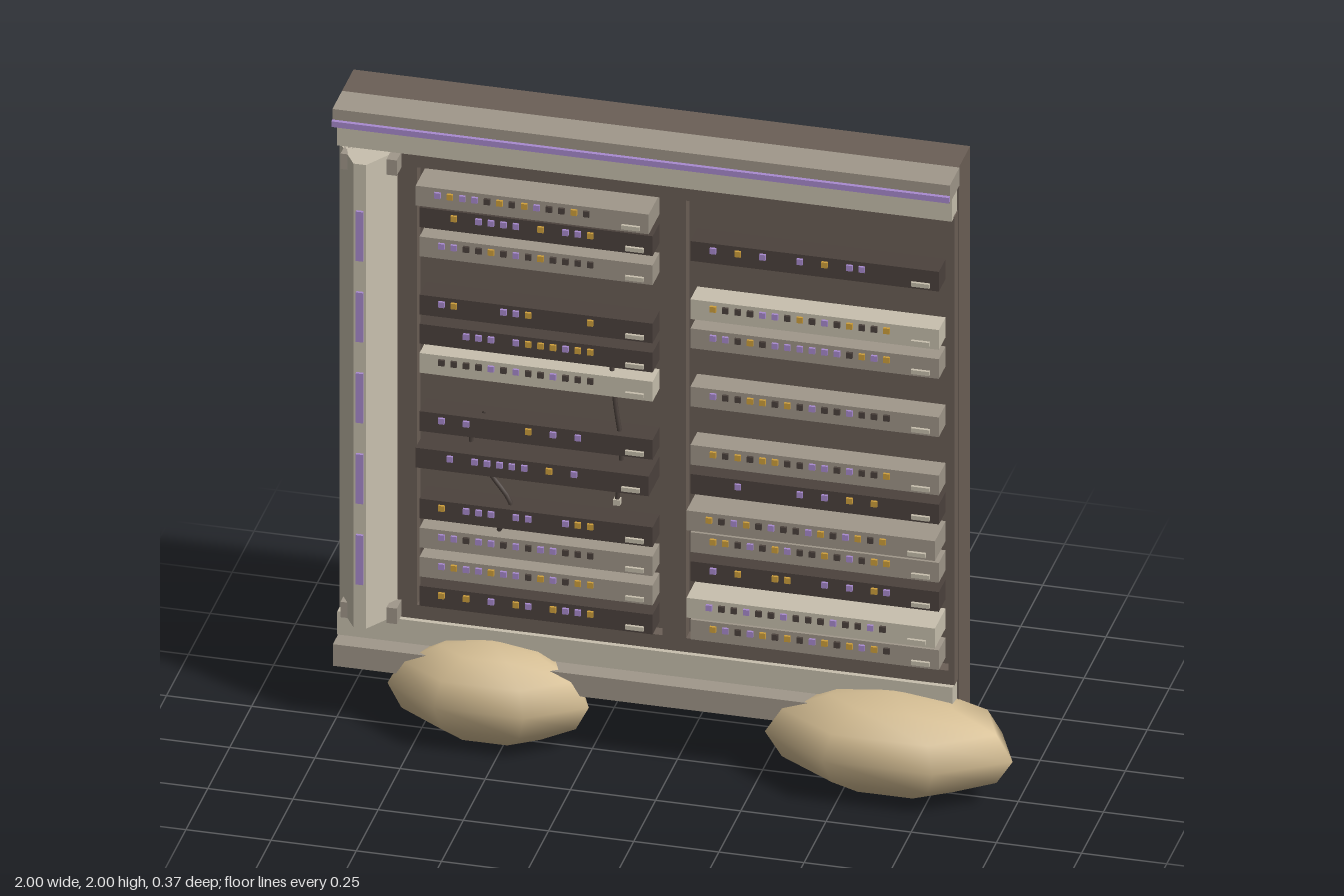
import * as THREE from 'three';

const mat = (name, color) => {
  const m = new THREE.MeshStandardMaterial({ color });
  m.name = name;
  return m;
};

export function createModel() {
  const M = {
    brown: mat('cabinet brown', 0x6b5f56),
    light: mat('pale trim', 0xc8c0ae),
    mid: mat('grey trim', 0xa0978a),
    dark: mat('dark casing', 0x4c423d),
    purple: mat('purple glow', 0xa98bd0),
    gold: mat('gold light', 0xd0a03c),
    rock: mat('sand rock', 0xd4bd93),
  };
  const root = new THREE.Group();
  root.name = 'rackCabinet';

  // Box given by its limits on each axis
  const box = (name, m, x0, x1, y0, y1, z0, z1, parent = root) => {
    const mesh = new THREE.Mesh(new THREE.BoxGeometry(x1 - x0, y1 - y0, z1 - z0), m);
    mesh.position.set((x0 + x1) / 2, (y0 + y1) / 2, (z0 + z1) / 2);
    mesh.name = name;
    parent.add(mesh);
    return mesh;
  };

  // Cabinet body
  box('cabinetBody', M.brown, -1, 0.81, 0.19, 2, -0.19, -0.06);

  // Front frame with two rack openings
  const rect = (P, x0, x1, y0, y1) => {
    const p = new P();
    p.moveTo(x0, y0).lineTo(x1, y0).lineTo(x1, y1).lineTo(x0, y1).closePath();
    return p;
  };
  const frameShape = rect(THREE.Shape, -0.83, 0.808, 0.34, 1.86);
  frameShape.holes.push(rect(THREE.Path, -0.77, -0.05, 0.385, 1.805), rect(THREE.Path, 0.02, 0.79, 0.385, 1.805));
  const frame = new THREE.Mesh(new THREE.ExtrudeGeometry(frameShape, { depth: 0.04, bevelEnabled: false }), M.brown);
  frame.position.z = -0.06;
  frame.name = 'rackFrame';
  root.add(frame);

  // Header and plinth
  box('headerCap', M.mid, -1, 0.812, 1.942, 2, -0.06, 0.05);
  box('headerGlow', M.purple, -1, 0.812, 1.948, 1.966, 0.05, 0.062);
  box('headerBand', M.light, -1, 0.805, 1.855, 1.942, -0.06, 0);
  box('plinthBand', M.light, -1, 0.805, 0.265, 0.34, -0.06, -0.005);
  box('plinth', M.mid, -1, 0.81, 0.19, 0.26, -0.06, 0.045);

  // Tapered pilaster on the model's right side
  const section = new THREE.Shape();
  section.moveTo(-1, 0.06).lineTo(-1, 0.03).lineTo(-0.93, -0.083).lineTo(-0.893, -0.083).lineTo(-0.82, 0.03).lineTo(-0.82, 0.06).closePath();
  const pilasterGeo = new THREE.ExtrudeGeometry(section, { depth: 1.505, bevelEnabled: false });
  pilasterGeo.rotateX(-Math.PI / 2);
  const pilaster = new THREE.Mesh(pilasterGeo, M.light);
  pilaster.position.y = 0.345;
  pilaster.name = 'pilaster';
  root.add(pilaster);
  for (let i = 0; i < 5; i++) {
    const y = 0.49 + i * 0.2625;
    box('pilasterGlow', M.purple, -0.921, -0.9, y, y + 0.16, 0.083, 0.092);
  }
  for (const x of [-0.965, -0.83]) {
    for (const y of [0.37, 1.825]) {
      box('pilasterClamp', M.mid, x - 0.015, x + 0.015, y - 0.025, y + 0.025, -0.05, 0.035);
    }
  }

  // Rack units: row, casing, status lights, pulled-out distance
  const leds = { P: M.purple, G: M.gold, D: M.dark };
  const unit = (side, row, casing, lights, out = 0) => {
    const g = new THREE.Group();
    g.name = side + 'RackUnit';
    const left = side === 'west';
    const [x0, x1, ledX, gripX] = left ? [-0.752, -0.068, -0.687, -0.147] : [0.043, 0.772, 0.11, 0.692];
    const y = 0.438 + row * 0.0945, z = 0.02 + out;
    box('unitCasing', casing, x0, x1, y - 0.032, y + 0.032, -0.058, z, g);
    box('unitGrip', M.light, gripX, gripX + 0.054, y - 0.022, y - 0.009, z, z + 0.009, g);
    [...lights].forEach((c, i) => {
      if (!leds[c]) return;
      const x = ledX + i * 0.0364;
      box('statusLight', leds[c], x - 0.009, x + 0.009, y + 0.002, y + 0.02, z, z + 0.008, g);
    });
    root.add(g);
  };
  const { dark, mid, light } = M;
  [
    [14, mid, 'PGPPDGDGPDDGD', 0.045],
    [13, dark, '.G.PPPP.G.PPG'],
    [12, mid, 'PPDDGDPDGDDDD'],
    [10, dark, 'PG...PPG....G'],
    [9, dark, '..PPP.PGGGPGG'],
    [8, light, 'DDDDPDPDDPDDD'],
    [6, dark, 'P.P....G.P.P.'],
    [5, dark, '.P.PPPPP.G.P.', 0.045],
    [3, dark, 'G.PPP.PP..PGG'],
    [2, mid, 'PPDPPDPDPPDDD'],
    [1, mid, 'PGPPGPPDGPDGG'],
    [0, dark, 'G.G.P.GP.GPPG'],
  ].forEach(u => unit('west', ...u));
  [
    [13, dark, 'P.G.P..P.G.PP..'],
    [11, light, 'GDDDPPDGDPDGDDG'],
    [10, mid, 'PPDGDPPPPPPDGPG'],
    [8, mid, 'PDDGGDGDPDDPDDD'],
    [6, mid, 'GDGDGGDDPPDPDDG'],
    [5, dark, '..P....P.P.G.G.'],
    [4, mid, 'GDPGDPDDPGDPGDG', 0.045],
    [3, mid, 'GGDPDGPDDGDPDGG'],
    [2, dark, 'P.G..GG..P.P.GP'],
    [1, light, 'PDDPDDPDDDPDDPD', 0.045],
    [0, mid, 'GPDPGDGDPGDGPGD'],
  ].forEach(u => unit('east', ...u));

  // Loose cables hanging between the units
  const cable = pts => {
    const curve = new THREE.CatmullRomCurve3(pts.map(p => new THREE.Vector3(...p)));
    const mesh = new THREE.Mesh(new THREE.TubeGeometry(curve, 16, 0.007, 6), M.dark);
    mesh.name = 'looseCable';
    root.add(mesh);
  };
  cable([[-0.57, 1.04, -0.02], [-0.61, 0.95, -0.012], [-0.555, 0.85, -0.012], [-0.49, 0.745, -0.012], [-0.53, 0.66, -0.02]]);
  cable([[-0.2, 1.26, -0.02], [-0.185, 1.12, -0.012], [-0.168, 0.98, -0.012], [-0.18, 0.81, -0.012]]);
  box('cablePlug', M.light, -0.19, -0.17, 0.797, 0.815, -0.022, -0.002);

  // Boulders under the plinth
  const boulder = (x, z, rx, rz) => {
    const geo = new THREE.SphereGeometry(1, 7, 6);
    geo.rotateY(Math.PI / 14);
    geo.scale(rx, 0.155, rz);
    const mesh = new THREE.Mesh(geo, M.rock);
    mesh.position.set(x, 0.155, z);
    mesh.name = 'boulder';
    root.add(mesh);
  };
  boulder(-0.545, 0.006, 0.303, 0.162);
  boulder(0.633, 0.009, 0.373, 0.19);

  return root;
}
